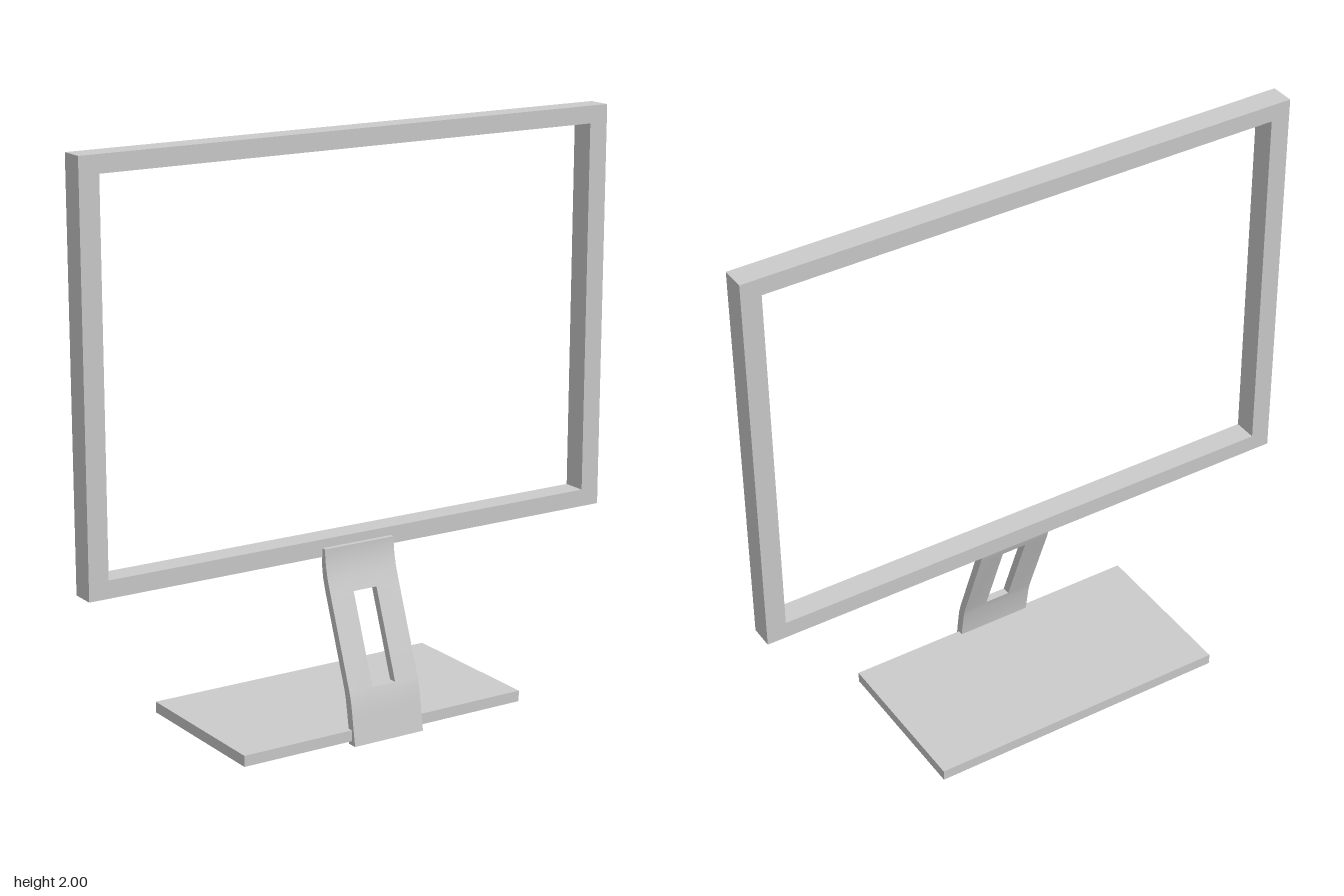
import * as THREE from 'three';
import { toCreasedNormals } from 'three/addons/utils/BufferGeometryUtils.js';

const material = new THREE.MeshStandardMaterial({ color: 0xcccccc });

function addMesh(group, name, geometry, x, y, z) {
  const mesh = new THREE.Mesh(geometry, material);
  mesh.name = name;
  mesh.position.set(x, y, z);
  group.add(mesh);
}

function rectangle(path, x0, y0, x1, y1) {
  path.moveTo(x0, y0);
  path.lineTo(x1, y0);
  path.lineTo(x1, y1);
  path.lineTo(x0, y1);
  path.closePath();
  return path;
}

// Curved plate with a slot, swept upwards through rows of [y, front z, back z]
function neckGeometry() {
  const rows = [
    [0, 0.3, 0.264], [0.06, 0.29, 0.26], [0.1, 0.284, 0.253], [0.15, 0.275, 0.244],
    [0.18, 0.266, 0.236], [0.48, 0.153, 0.123], [0.53, 0.135, 0.107],
    [0.57, 0.125, 0.101], [0.61, 0.12, 0.1], [0.63, 0.12, 0.1],
  ];
  const xs = [-0.135, -0.045, 0.045, 0.135];
  const slotRow = 4; // the row span left open in the middle column
  const solid = (r, c) =>
    r >= 0 && r < rows.length - 1 && c >= 0 && c < 3 && !(r === slotRow && c === 1);
  const front = (r, c) => [xs[c], rows[r][0], rows[r][1]];
  const back = (r, c) => [xs[c], rows[r][0], rows[r][2]];
  const positions = [];
  const quad = (a, b, c, d) => positions.push(...a, ...b, ...c, ...a, ...c, ...d);

  for (let r = 0; r < rows.length - 1; r++) {
    for (let c = 0; c < 3; c++) {
      if (!solid(r, c)) continue;
      quad(front(r, c), front(r, c + 1), front(r + 1, c + 1), front(r + 1, c));
      quad(back(r, c + 1), back(r, c), back(r + 1, c), back(r + 1, c + 1));
      // Edge walls wherever the neighbouring cell is open
      if (!solid(r, c + 1)) quad(front(r, c + 1), back(r, c + 1), back(r + 1, c + 1), front(r + 1, c + 1));
      if (!solid(r, c - 1)) quad(back(r, c), front(r, c), front(r + 1, c), back(r + 1, c));
      if (!solid(r + 1, c)) quad(front(r + 1, c), front(r + 1, c + 1), back(r + 1, c + 1), back(r + 1, c));
      if (!solid(r - 1, c)) quad(back(r, c), back(r, c + 1), front(r, c + 1), front(r, c));
    }
  }
  const geometry = new THREE.BufferGeometry();
  geometry.setAttribute('position', new THREE.Float32BufferAttribute(positions, 3));
  return toCreasedNormals(geometry, 0.6);
}

export function createModel() {
  const group = new THREE.Group();
  group.name = 'monitorFrameOnStand';

  // Open screen frame
  const outline = rectangle(new THREE.Shape(), -1, 0.6, 1, 2);
  outline.holes.push(rectangle(new THREE.Path(), -0.93, 0.66, 0.93, 1.94));
  const frame = new THREE.ExtrudeGeometry(outline, { depth: 0.085, bevelEnabled: false });
  addMesh(group, 'screenFrame', frame, 0, 0, 0.018);

  // Slotted neck and flat base plate
  addMesh(group, 'neck', neckGeometry(), -0.005, 0, 0);
  addMesh(group, 'base', new THREE.BoxGeometry(1.09, 0.038, 0.58), -0.005, 0.033, -0.01);

  return group;
}
